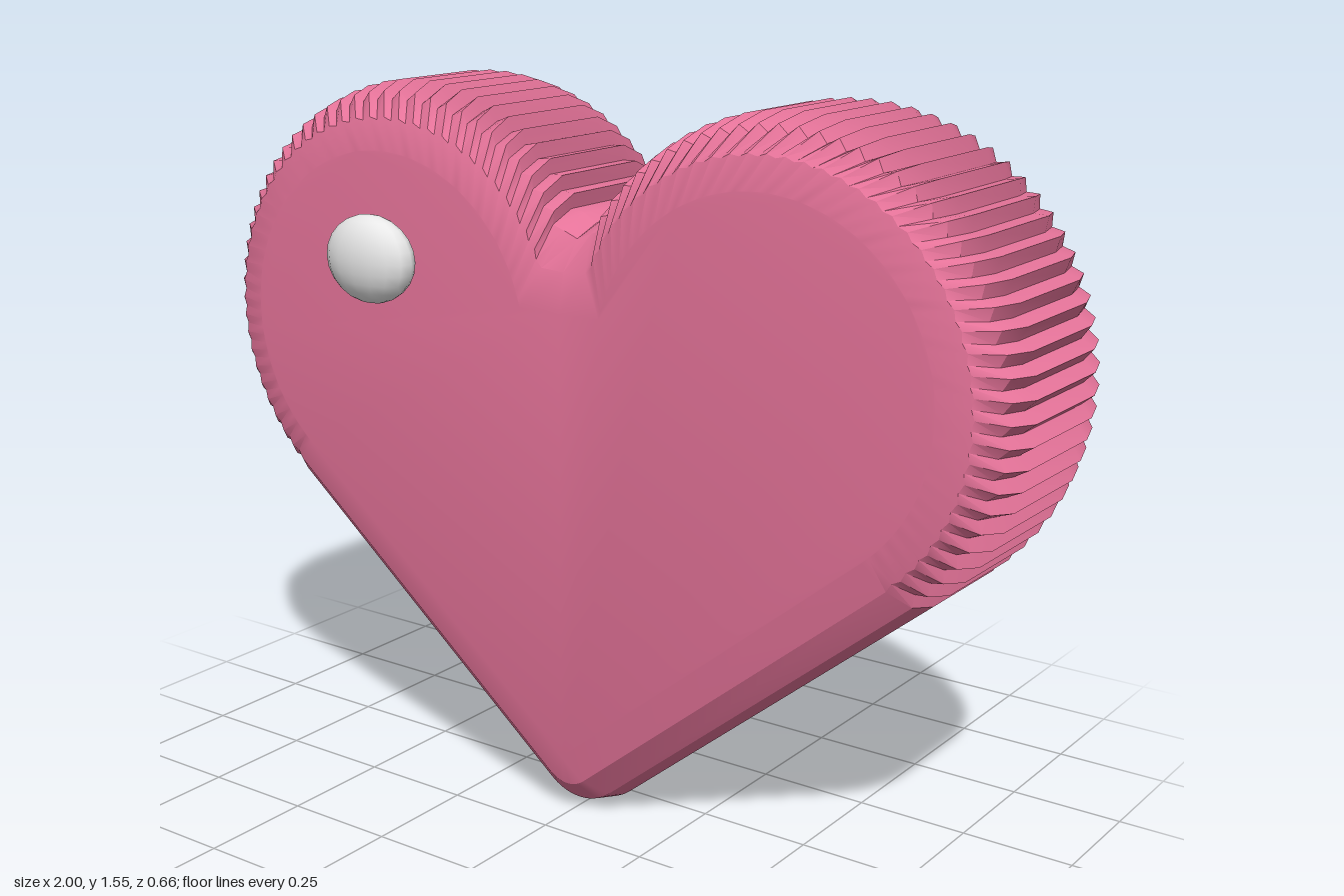
import * as THREE from 'three';
import { toCreasedNormals } from 'three/addons/utils/BufferGeometryUtils.js';

const LOBE = { x: 0.475, y: 1.03, r: 0.385 };
const TIP_Y = 0.14;
const BEVEL = 0.14;
const TEETH = 40;

// Heart outline grown outward by d; the lobes become ridged as d grows
function heartOutline(d) {
  const k = d / BEVEL;
  const dy = LOBE.y - TIP_Y;
  const normal = Math.atan2(dy, LOBE.x) - Math.asin(LOBE.r / Math.hypot(LOBE.x, dy)) - Math.PI / 2;
  const half = [];
  // rounded bottom tip
  for (let i = 0; i <= 5; i++) {
    const a = THREE.MathUtils.lerp(-Math.PI / 2, normal, i / 5);
    half.push(new THREE.Vector2(d * Math.cos(a), TIP_Y + d * Math.sin(a)));
  }
  // ridged lobe
  const end = THREE.MathUtils.lerp(2.9, 2.58, k);
  for (let i = 0; i <= TEETH * 2; i++) {
    const a = THREE.MathUtils.lerp(normal, end, i / (TEETH * 2));
    const r = LOBE.r + d - (i % 2 ? 0.025 * k * k : 0);
    half.push(new THREE.Vector2(LOBE.x + r * Math.cos(a), LOBE.y + r * Math.sin(a)));
  }
  // notch between the lobes
  half.push(new THREE.Vector2(0, THREE.MathUtils.lerp(1.12, 1.29, k)));
  const mirrored = half.slice(1, -1).reverse().map((p) => new THREE.Vector2(-p.x, p.y));
  return half.concat(mirrored);
}

function heartGeometry() {
  const front = 0.19, back = -0.33, depth = 0.13, steps = 3;
  const rings = [];
  for (let i = 0; i <= steps; i++) {
    const a = (i / steps) * Math.PI / 2;
    rings.push({ d: BEVEL * Math.sin(a), inset: depth * (1 - Math.cos(a)) });
  }
  const levels = [
    ...rings.map((r) => ({ d: r.d, z: front - r.inset })),
    ...rings.slice().reverse().map((r) => ({ d: r.d, z: back + r.inset })),
  ];
  const pos = [], index = [];
  for (const { d, z } of levels) for (const p of heartOutline(d)) pos.push(p.x, p.y, z);

  // bevels and rim
  const face = heartOutline(0), n = face.length;
  for (let r = 0; r < levels.length - 1; r++) {
    for (let i = 0; i < n; i++) {
      const j = (i + 1) % n;
      const a = r * n + i, b = r * n + j, c = a + n, e = b + n;
      index.push(a, c, b, b, c, e);
    }
  }
  // flat front and back faces
  const last = (levels.length - 1) * n;
  for (const [a, b, c] of THREE.ShapeUtils.triangulateShape(face, [])) {
    index.push(a, b, c, last + a, last + c, last + b);
  }
  const geo = new THREE.BufferGeometry();
  geo.setAttribute('position', new THREE.Float32BufferAttribute(pos, 3));
  geo.setIndex(index);
  return toCreasedNormals(geo, 0.5);
}

export function createModel() {
  const pink = new THREE.MeshStandardMaterial({ color: 0xe57399 });
  pink.name = 'pink';
  const white = new THREE.MeshStandardMaterial({ color: 0xffffff });
  white.name = 'white';

  const group = new THREE.Group();
  group.name = 'heart';

  const body = new THREE.Mesh(heartGeometry(), pink);
  body.name = 'heartBody';
  group.add(body);

  // floating highlight bead
  const bead = new THREE.Mesh(new THREE.SphereGeometry(1, 16, 12), white);
  bead.name = 'highlight';
  bead.scale.set(0.115, 0.095, 0.058);
  bead.position.set(-0.435, 1.2, 0.275);
  group.add(bead);

  return group;
}
